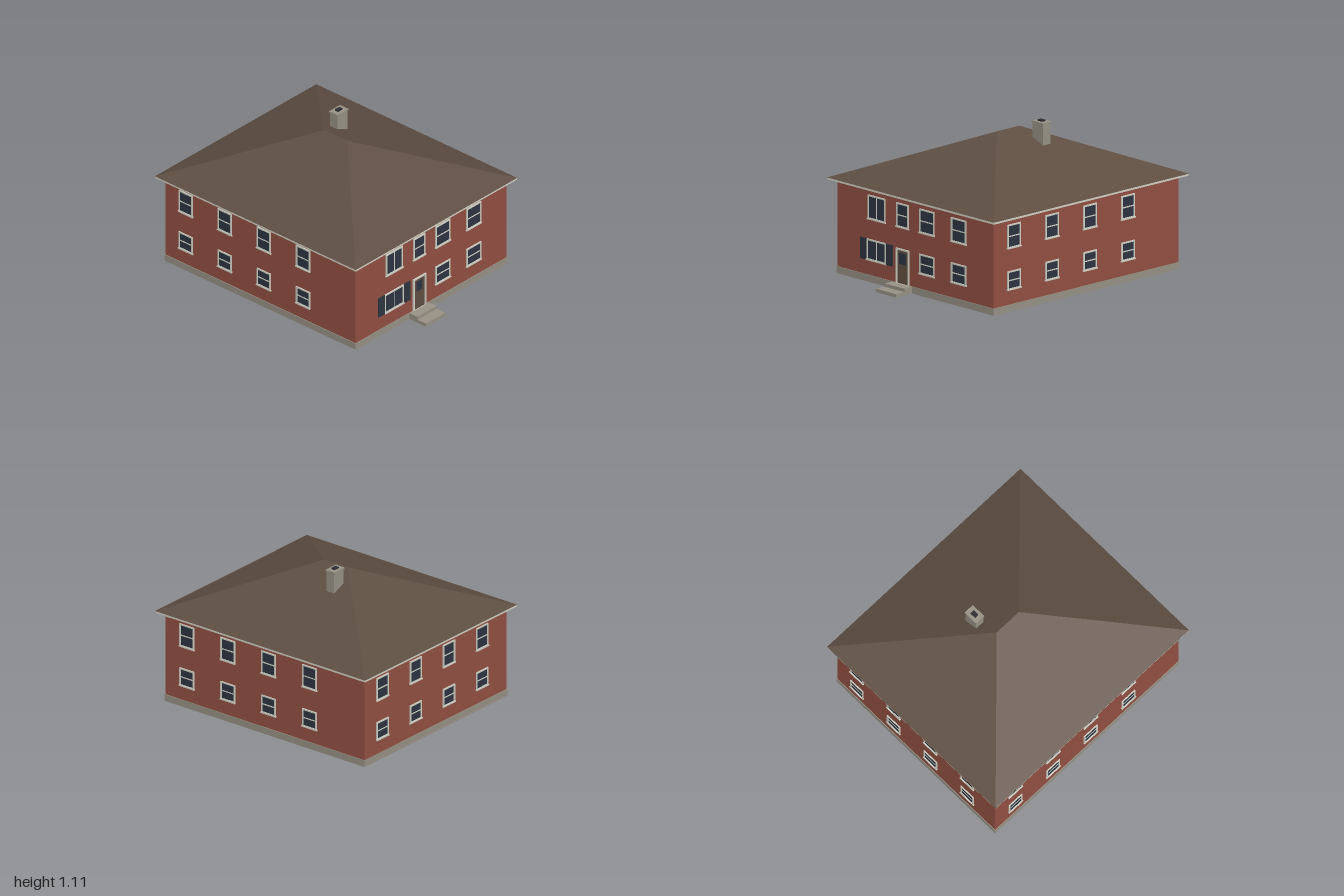
import * as THREE from 'three';

const mat = (name, color) => {
  const m = new THREE.MeshStandardMaterial({ color });
  m.name = name;
  return m;
};

export function createModel() {
  const brick = mat('brick', 0x935042), roofTile = mat('roof brown', 0x5e4e42);
  const stone = mat('stone', 0x989286), trim = mat('trim', 0xd2d2c6);
  const glass = mat('glass', 0x2d3542), shutterPaint = mat('shutter slate', 0x2f3641);
  const doorWood = mat('door wood', 0x614f42), dark = mat('flue dark', 0x2b2b30);
  const house = new THREE.Group();
  house.name = 'house';

  // Box given by its min and max on each axis
  const box = (parent, name, material, x0, x1, y0, y1, z0, z1) => {
    const mesh = new THREE.Mesh(new THREE.BoxGeometry(x1 - x0, y1 - y0, z1 - z0), material);
    mesh.position.set((x0 + x1) / 2, (y0 + y1) / 2, (z0 + z1) / 2);
    mesh.name = name;
    parent.add(mesh);
    return mesh;
  };

  // Main body
  box(house, 'foundation', stone, -0.79, 0.79, 0, 0.05, -0.955, 0.845);
  box(house, 'walls', brick, -0.785, 0.785, 0.05, 0.68, -0.95, 0.84);
  box(house, 'eaves', trim, -0.838, 0.838, 0.675, 0.69, -0.998, 0.888);

  // Hipped roof with a short ridge running front to back
  const a = [-0.84, 0.69, 0.89], b = [0.84, 0.69, 0.89], c = [0.84, 0.69, -1], d = [-0.84, 0.69, -1];
  const f = [0, 1.03, 0.05], r = [0, 1.03, -0.165];
  const faces = [a, b, f, b, c, r, b, r, f, c, d, r, d, a, f, d, f, r, a, d, c, a, c, b];
  const roofGeo = new THREE.BufferGeometry();
  roofGeo.setAttribute('position', new THREE.Float32BufferAttribute(faces.flat(), 3));
  roofGeo.computeVertexNormals();
  const roof = new THREE.Mesh(roofGeo, roofTile);
  roof.name = 'roof';
  house.add(roof);

  // Chimney
  const chimney = new THREE.Group();
  chimney.name = 'chimney';
  house.add(chimney);
  box(chimney, 'chimneyStack', stone, 0.135, 0.24, 0.86, 1.085, -0.234, -0.164);
  box(chimney, 'chimneyCap', stone, 0.13, 0.245, 1.083, 1.095, -0.239, -0.159);
  box(chimney, 'chimneyFlue', dark, 0.165, 0.21, 1.09, 1.105, -0.215, -0.184);

  // Wall groups: local x runs right along the wall, local z points outward
  const wall = (name, x, z, turn) => {
    const g = new THREE.Group();
    g.name = name;
    g.position.set(x, 0, z);
    g.rotation.y = turn;
    house.add(g);
    return g;
  };

  // Rectangular surround with an open middle
  const surround = (parent, name, x0, x1, y0, y1, t, depth) => {
    const s = new THREE.Shape([[x0, y0], [x1, y0], [x1, y1], [x0, y1]].map(p => new THREE.Vector2(...p)));
    s.holes.push(new THREE.Path([[x0 + t, y0 + t], [x0 + t, y1 - t], [x1 - t, y1 - t], [x1 - t, y0 + t]]
      .map(p => new THREE.Vector2(...p))));
    const mesh = new THREE.Mesh(new THREE.ExtrudeGeometry(s, { depth, bevelEnabled: false }), trim);
    mesh.name = name;
    parent.add(mesh);
  };

  const addWindow = (parent, x0, x1, y0, y1, vertical = false) => {
    const w = new THREE.Group();
    w.name = 'window';
    parent.add(w);
    const t = 0.011, cx = (x0 + x1) / 2, cy = (y0 + y1) / 2;
    surround(w, 'windowFrame', x0, x1, y0, y1, t, 0.008);
    box(w, 'windowGlass', glass, x0 + t, x1 - t, y0 + t, y1 - t, -0.003, 0.003);
    if (vertical) box(w, 'windowBar', trim, cx - 0.003, cx + 0.003, y0 + t, y1 - t, 0, 0.006);
    else box(w, 'windowBar', trim, x0 + t, x1 - t, cy - 0.004, cy + 0.004, 0, 0.006);
    box(w, 'windowSill', trim, x0 - 0.004, x1 + 0.004, y0 - 0.003, y0 + 0.006, 0, 0.012);
  };

  // Front windows
  const front = wall('frontWall', 0, 0.84, 0);
  addWindow(front, -0.475, -0.3, 0.455, 0.63, true);
  addWindow(front, -0.188, -0.065, 0.455, 0.63);
  for (const x of [0.041, 0.362]) {
    addWindow(front, x, x + 0.152, 0.455, 0.63);
    addWindow(front, x, x + 0.152, 0.158, 0.303);
  }
  addWindow(front, -0.487, -0.291, 0.158, 0.31, true);
  for (const x of [-0.553, -0.29]) box(front, 'shutter', shutterPaint, x, x + 0.065, 0.157, 0.31, 0, 0.008);

  // Front door and steps
  const t = 0.012;
  surround(front, 'doorFrame', -0.192, -0.06, 0.038, 0.302, t, 0.01);
  box(front, 'door', doorWood, -0.192 + t, -0.06 - t, 0.05, 0.302 - t, -0.003, 0.004);
  box(front, 'doorGlass', glass, -0.158, -0.094, 0.19, 0.27, 0, 0.006);
  box(house, 'upperStep', stone, -0.23, -0.03, 0, 0.049, 0.83, 0.92);
  box(house, 'lowerStep', stone, -0.23, -0.03, 0, 0.025, 0.92, 1);

  // Two rows of four windows on each remaining wall
  const sideXs = [-0.7, -0.332, 0.035, 0.403], backXs = [-0.59, -0.223, 0.144, 0.511];
  const others = [
    [wall('wallOnLeft', 0.785, -0.055, Math.PI / 2), sideXs],
    [wall('backWall', 0, -0.95, Math.PI), backXs],
    [wall('wallOnRight', -0.785, -0.055, -Math.PI / 2), sideXs],
  ];
  for (const [g, xs] of others) {
    for (const x of xs) {
      addWindow(g, x - 0.065, x + 0.065, 0.457, 0.63);
      addWindow(g, x - 0.065, x + 0.065, 0.157, 0.293);
    }
  }
  return house;
}
